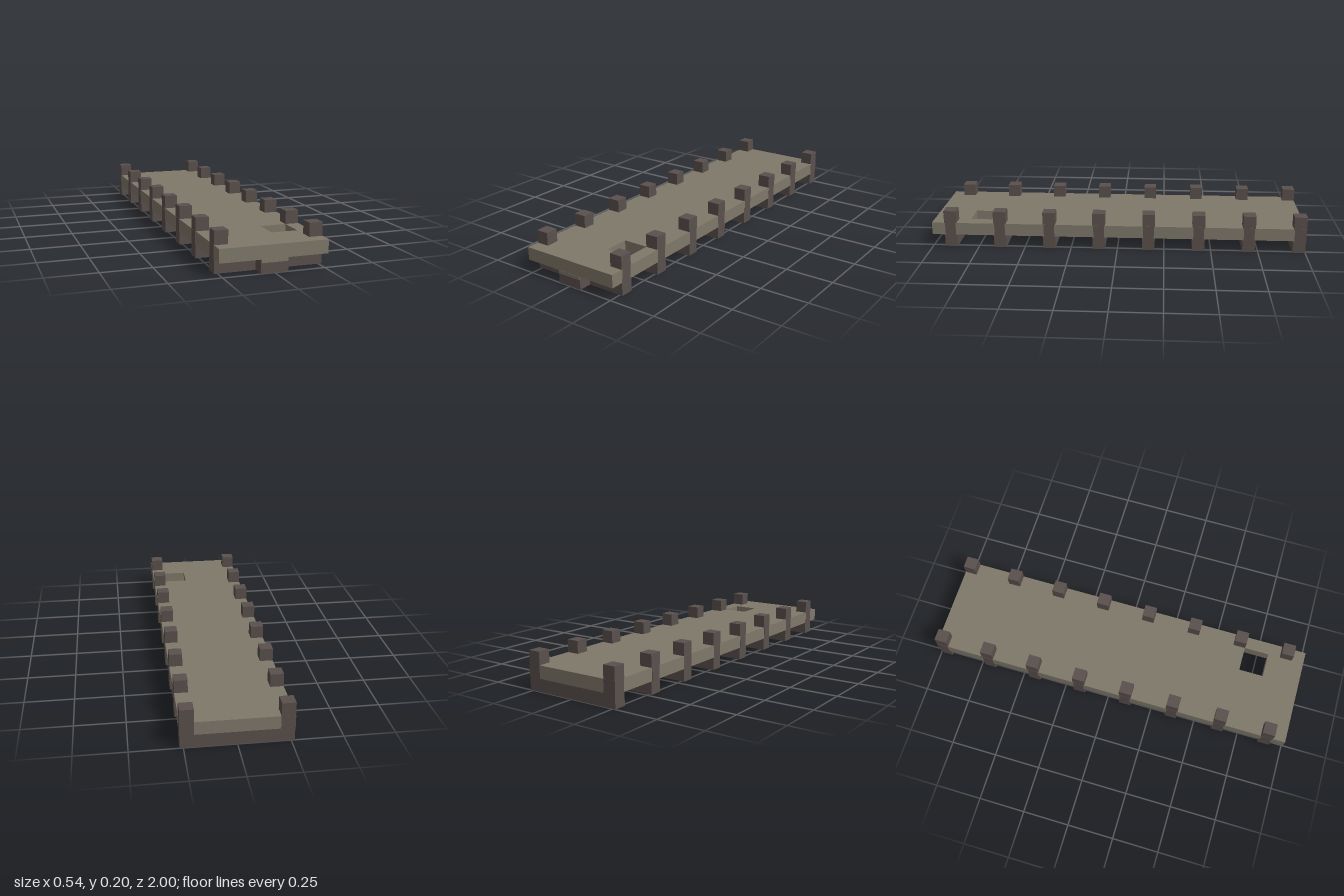
import * as THREE from 'three';

const deckMat = new THREE.MeshStandardMaterial({ color: 0x7f786a });
deckMat.name = 'weathered planks';
const beamMat = new THREE.MeshStandardMaterial({ color: 0x5a504c });
beamMat.name = 'dark timber';

const U = 1 / 15; // timber thickness
const HALF_W = 4 * U;

// Box given by its minimum and maximum corners
function box(name, mat, x0, x1, y0, y1, z0, z1) {
  const mesh = new THREE.Mesh(new THREE.BoxGeometry(x1 - x0, y1 - y0, z1 - z0), mat);
  mesh.position.set((x0 + x1) / 2, (y0 + y1) / 2, (z0 + z1) / 2);
  mesh.name = name;
  return mesh;
}

export function createModel() {
  const model = new THREE.Group();
  model.name = 'dock';

  // Deck slab with a square hatch near the front left
  const outline = new THREE.Shape([
    new THREE.Vector2(-HALF_W, -1), new THREE.Vector2(HALF_W, -1),
    new THREE.Vector2(HALF_W, 1), new THREE.Vector2(-HALF_W, 1),
  ]);
  outline.holes.push(new THREE.Path([
    new THREE.Vector2(U, -12 * U), new THREE.Vector2(U, -10 * U),
    new THREE.Vector2(3 * U, -10 * U), new THREE.Vector2(3 * U, -12 * U),
  ]));
  const deckGeo = new THREE.ExtrudeGeometry(outline, { depth: U, bevelEnabled: false });
  deckGeo.rotateX(-Math.PI / 2).translate(0, U, 0);
  const deck = new THREE.Mesh(deckGeo, deckMat);
  deck.name = 'deck';
  model.add(deck);

  // Eight cross beams, each with a post at either end
  for (let i = 0; i < 8; i++) {
    const z0 = -1 + 4 * U * i;
    const z1 = z0 + U;
    const frame = new THREE.Group();
    frame.name = 'frame' + (i + 1);
    frame.add(box('crossBeam', beamMat, -HALF_W, HALF_W, 0, U, z0, z1));
    for (const side of [-1, 1]) {
      const a = side < 0 ? -HALF_W : 3 * U;
      frame.add(box('postTop', beamMat, a, a + U, 2 * U, 3 * U, z0, z1));
      // Post face set just proud of the deck edge
      const out = 0.001;
      frame.add(box('postMiddle', beamMat,
        a - (side < 0 ? out : 0), a + U + (side > 0 ? out : 0), U, 2 * U,
        i === 0 ? z0 - out : z0 + 0.005, z1 - 0.005));
    }
    model.add(frame);
  }

  // Short bumper block under the front edge, with a plank lip on its face
  model.add(box('bumper', beamMat, -U, U, 0, U, 1 - U, 1));
  model.add(box('bumperLip', deckMat, -U, U, 0.05, U, 0.999, 1.001));
  return model;
}
